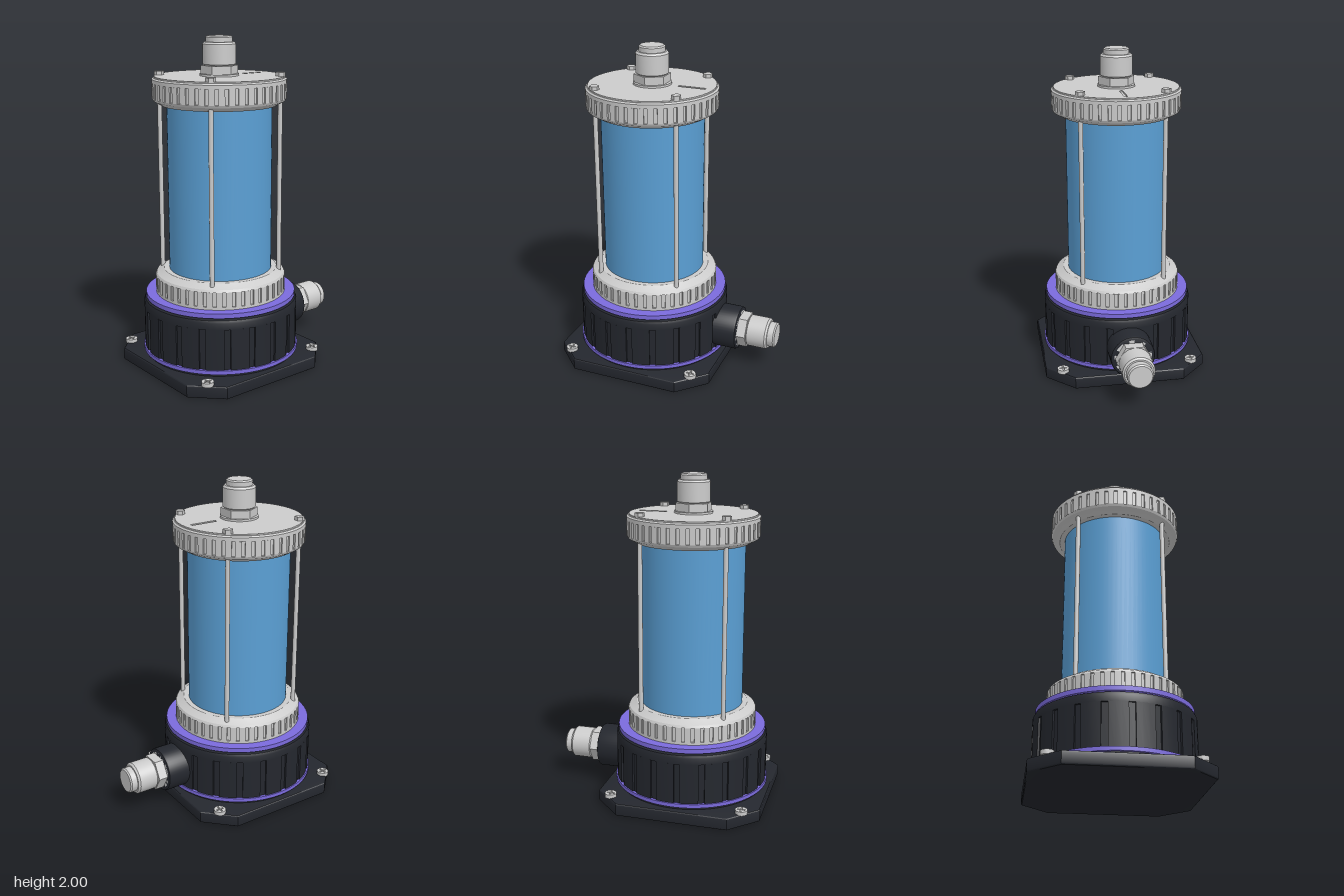
import * as THREE from 'three';
import { toCreasedNormals } from 'three/addons/utils/BufferGeometryUtils.js';

const grey = new THREE.MeshStandardMaterial({ color: 0xcccccc });
const dark = new THREE.MeshStandardMaterial({ color: 0x24272e });
const purple = new THREE.MeshStandardMaterial({ color: 0x7b6bdd });
const blue = new THREE.MeshStandardMaterial({ color: 0x5a9fd4 });
const CX = -0.165; // axis of the column

function add(parent, name, geometry, material, x = 0, y = 0, z = 0) {
  const mesh = new THREE.Mesh(geometry, material);
  mesh.name = name;
  mesh.position.set(x, y, z);
  parent.add(mesh);
  return mesh;
}

// Solid of revolution from [radius, height] pairs listed bottom to top
function lathe(points, segments = 72) {
  const profile = points.map(([r, y]) => new THREE.Vector2(r, y));
  return toCreasedNormals(new THREE.LatheGeometry(profile, segments), 0.45);
}

// Shape in plan, extruded upward
function slab(shape, height, bevel = 0) {
  const g = new THREE.ExtrudeGeometry(shape, {
    depth: height - 2 * bevel, bevelEnabled: bevel > 0, bevelSize: bevel,
    bevelThickness: bevel, bevelOffset: -bevel, bevelSegments: 3, curveSegments: 36,
  });
  g.rotateX(-Math.PI / 2).translate(0, bevel, 0);
  return toCreasedNormals(g, 0.45);
}

// Ring with evenly spaced shallow grooves round its edge
function groovedRing(radius, depth, count, grooveShare, height) {
  const pts = [];
  const step = (Math.PI * 2) / count;
  const polar = (r, a) => pts.push(new THREE.Vector2(r * Math.cos(a), r * Math.sin(a)));
  for (let i = 0; i < count; i++) {
    const a = i * step;
    const land = step * (1 - grooveShare);
    for (let k = 0; k <= 3; k++) polar(radius, a + (land * k) / 3);
    polar(radius - depth, a + land);
    polar(radius - depth, a + step);
  }
  return slab(new THREE.Shape(pts), height);
}

// Collar clamping one end of the tube; its flat face is at y = 0
function collar(name) {
  const g = new THREE.Group();
  g.name = name;
  add(g, 'collarRim', lathe([[0, 0], [0.387, 0], [0.397, 0.008], [0.397, 0.03], [0, 0.03]]), grey);
  add(g, 'collarGrip', groovedRing(0.397, 0.009, 44, 0.35, 0.09), grey, 0, 0.03);
  add(g, 'collarShoulder', lathe([[0.39, 0.118], [0.397, 0.12], [0.39, 0.134],
    [0.352, 0.155], [0.345, 0.16], [0.3, 0.16]]), grey);
  return g;
}

// Hose fitting along +y: washer, hexagon, barrel and neck
function fitting(name, hexLength, neckLength) {
  const g = new THREE.Group();
  g.name = name;
  const h = 0.012 + hexLength;
  const b = h + 0.135;
  const t = b + neckLength;
  add(g, 'fittingWasher', lathe([[0, 0], [0.115, 0], [0.115, 0.012], [0, 0.012]], 48), grey);
  add(g, 'fittingHex', toCreasedNormals(new THREE.CylinderGeometry(0.11, 0.11, hexLength, 6), 0.2),
    grey, 0, 0.012 + hexLength / 2);
  add(g, 'fittingBarrel', lathe([[0, h], [0.09, h], [0.098, h + 0.008], [0.098, b - 0.012],
    [0.088, b], [0, b]], 48), grey);
  add(g, 'fittingNeck', lathe([[0.078, b - 0.005], [0.078, t - 0.008], [0.07, t], [0, t]], 48), grey);
  return g;
}

function crossHole(a, w) {
  const p = [[a, w], [w, w], [w, a], [-w, a], [-w, w], [-a, w],
    [-a, -w], [-w, -w], [-w, -a], [w, -a], [w, -w], [a, -w]];
  return new THREE.Path(p.map(([x, y]) => new THREE.Vector2(x, y)));
}

export function createModel() {
  const model = new THREE.Group();
  model.name = 'filterUnit';
  const column = new THREE.Group();
  column.name = 'column';
  column.position.x = CX;
  model.add(column);

  // Base plate with cut corners
  const s = 0.505, c = 0.34;
  const plate = new THREE.Shape([[s, -c], [s, c], [c, s], [-c, s], [-s, c], [-s, -c], [-c, -s], [c, -s]]
    .map(([x, y]) => new THREE.Vector2(x, y)));
  add(column, 'basePlate', slab(plate, 0.077, 0.012), dark);

  // Grooved housing between its two coloured seals
  add(column, 'housingFoot', lathe([[0.462, 0.07], [0.462, 0.12]]), dark);
  add(column, 'lowerSeal', lathe([[0.45, 0.094], [0.479, 0.094], [0.479, 0.117], [0.45, 0.117]]), purple);
  const ring = add(column, 'housingGrip', groovedRing(0.471, 0.012, 20, 0.25, 0.25), dark, 0, 0.117);
  ring.rotation.y = 0.1;
  add(column, 'housingTop', lathe([[0.45, 0.365], [0.471, 0.365], [0.471, 0.405], [0.464, 0.42],
    [0.452, 0.424], [0.43, 0.424], [0.43, 0.435]]), dark);
  add(column, 'upperSeal', lathe([[0.4, 0.431], [0.458, 0.431], [0.458, 0.459], [0, 0.459]]), purple);

  // Tube with a collar at each end
  const lower = collar('lowerCollar');
  lower.position.y = 0.445;
  const upper = collar('upperCollar');
  upper.position.y = 1.762;
  upper.rotation.x = Math.PI;
  column.add(lower, upper);
  add(column, 'tube', new THREE.CylinderGeometry(0.312, 0.312, 1.06, 72), blue, 0, 1.11);

  // Lid with a slot marking the outlet side
  const lid = new THREE.Shape().absarc(0, 0, 0.382, 0, Math.PI * 2);
  lid.holes.push(new THREE.Path([[0.165, -0.01], [0.165, 0.01], [0.335, 0.01], [0.335, -0.01]]
    .map(([x, y]) => new THREE.Vector2(x, y))));
  add(column, 'lid', slab(lid, 0.01), grey, 0, 1.76);

  // Tie rods with hexagonal heads, and cross-head screws in the plate corners
  const screw = new THREE.Shape().absarc(0, 0, 0.036, 0, Math.PI * 2);
  screw.holes.push(crossHole(0.024, 0.005));
  const screwGeometry = slab(screw, 0.012);
  for (const sx of [-1, 1]) {
    for (const sz of [-1, 1]) {
      add(column, 'tieRod', new THREE.CylinderGeometry(0.014, 0.014, 1.14, 16), grey, sx * 0.254, 1.13, sz * 0.254);
      add(column, 'rodHead', toCreasedNormals(new THREE.CylinderGeometry(0.029, 0.029, 0.025, 6), 0.2),
        grey, sx * 0.254, 1.78, sz * 0.254);
      add(column, 'screwBase', new THREE.CylinderGeometry(0.036, 0.036, 0.014, 32), grey, sx * 0.405, 0.08, sz * 0.405);
      add(column, 'screwHead', screwGeometry, grey, sx * 0.405, 0.086, sz * 0.405);
    }
  }

  // Inlet on top
  const inlet = fitting('topFitting', 0.048, 0.035);
  inlet.position.y = 1.77;
  column.add(inlet);

  // Side outlet on the model's left, in its round boss
  const outlet = new THREE.Group();
  outlet.name = 'sideOutlet';
  outlet.position.y = 0.235;
  outlet.rotation.z = -Math.PI / 2;
  add(outlet, 'outletBoss', lathe([[0.136, 0.15], [0.136, 0.417], [0.132, 0.426], [0.122, 0.43], [0, 0.43]], 48), dark);
  const hose = fitting('sideFitting', 0.057, 0.045);
  hose.position.y = 0.418;
  outlet.add(hose);
  model.add(outlet);
  return model;
}
